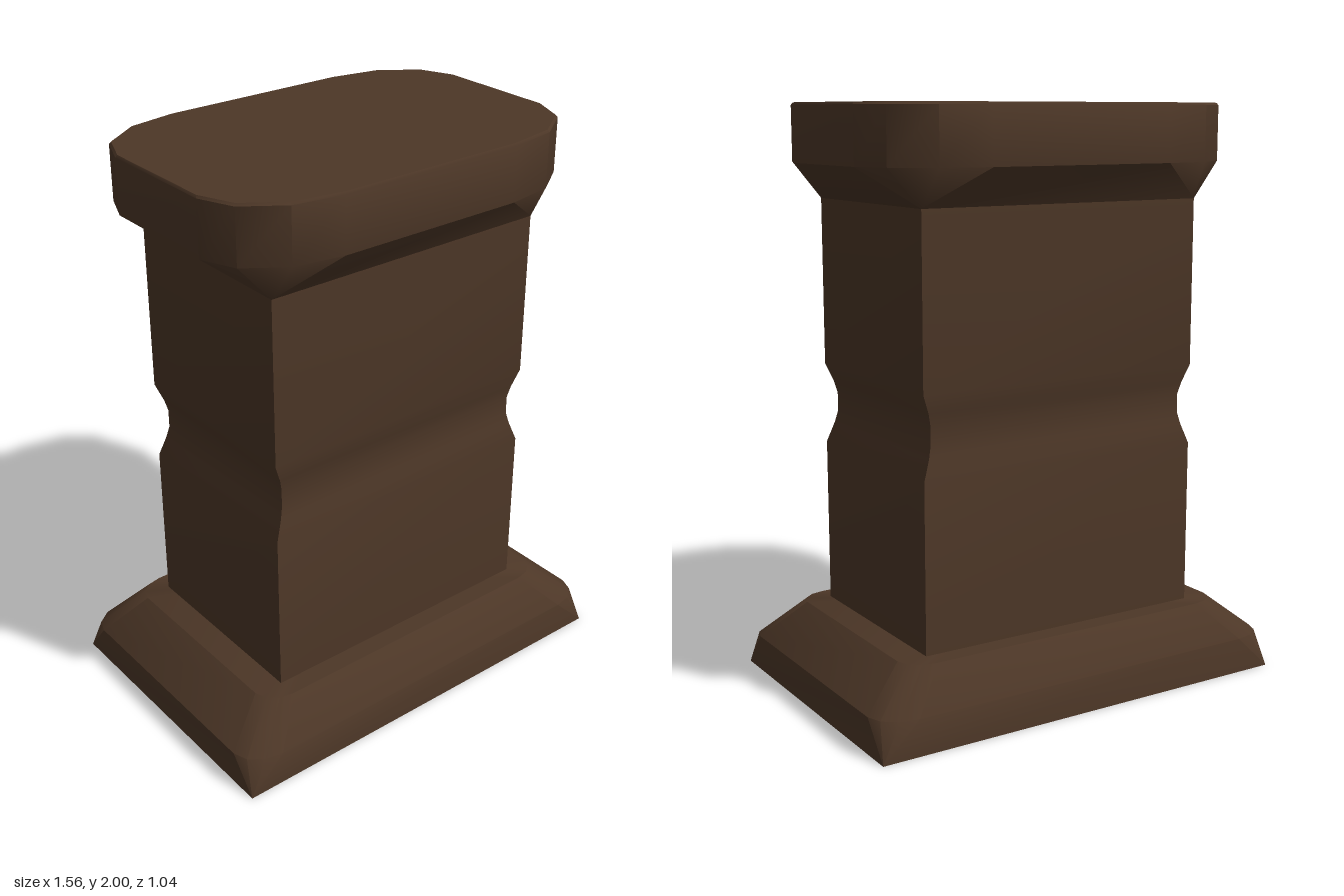
import * as THREE from 'three';
import { toCreasedNormals } from 'three/addons/utils/BufferGeometryUtils.js';

// Fractions of the corner size cut away in x and z along a rounded corner
const CORNER = [[0, 1], [0.14, 0.5], [0.51, 0.125], [1, 0]];

// Rectangle of half sizes hx, hz with corners rounded by cx, cz (0 = sharp)
function ring([y, hx, hz, cx = 0, cz = 0]) {
  const points = [];
  for (const [sx, sz] of [[1, -1], [-1, -1], [-1, 1], [1, 1]]) {
    const corner = CORNER.map(([fx, fz]) => [sx * (hx - cx * fx), y, sz * (hz - cz * fz)]);
    if (sx * sz > 0) corner.reverse();
    points.push(...corner);
  }
  return points;
}

// Closed solid through a stack of rings, bottom to top
function loft(name, sections, material) {
  const rings = sections.map(ring);
  const n = rings[0].length;
  const top = rings.length - 1;
  const position = [];
  const tri = (...corners) => corners.forEach((p) => position.push(...p));
  const bottomCentre = [0, sections[0][0], 0];
  const topCentre = [0, sections[top][0], 0];
  for (let j = 0; j < n; j++) {
    const k = (j + 1) % n;
    for (let i = 0; i < top; i++) {
      tri(rings[i][j], rings[i][k], rings[i + 1][k]);
      tri(rings[i][j], rings[i + 1][k], rings[i + 1][j]);
    }
    tri(bottomCentre, rings[0][k], rings[0][j]);
    tri(topCentre, rings[top][j], rings[top][k]);
  }
  const geometry = new THREE.BufferGeometry();
  geometry.setAttribute('position', new THREE.Float32BufferAttribute(position, 3));
  const mesh = new THREE.Mesh(toCreasedNormals(geometry, 0.68), material);
  mesh.name = name;
  return mesh;
}

export function createModel() {
  const group = new THREE.Group();
  group.name = 'pedestal';
  const wood = new THREE.MeshStandardMaterial({ color: 0x4d3727 });

  // Plinth: square foot, softened corners, sloped shoulder
  group.add(loft('base', [
    [0, 0.78, 0.52],
    [0.125, 0.78, 0.52, 0.13, 0.1],
    [0.25, 0.63, 0.42, 0.1, 0.08],
  ], wood));

  // Shaft with a shallow groove around the middle
  group.add(loft('column', [
    [0.25, 0.532, 0.352],
    [0.825, 0.532, 0.352],
    [0.895, 0.506, 0.338],
    [0.935, 0.496, 0.331],
    [1.0, 0.496, 0.331],
    [1.04, 0.506, 0.338],
    [1.105, 0.532, 0.352],
    [1.68, 0.532, 0.352],
  ], wood));

  // Flared capital with a rounded slab
  group.add(loft('cap', [
    [1.68, 0.532, 0.352],
    [1.805, 0.69, 0.46, 0.35, 0.24],
    [1.992, 0.69, 0.46, 0.35, 0.24],
    [2, 0.685, 0.455, 0.35, 0.24],
  ], wood));

  return group;
}
